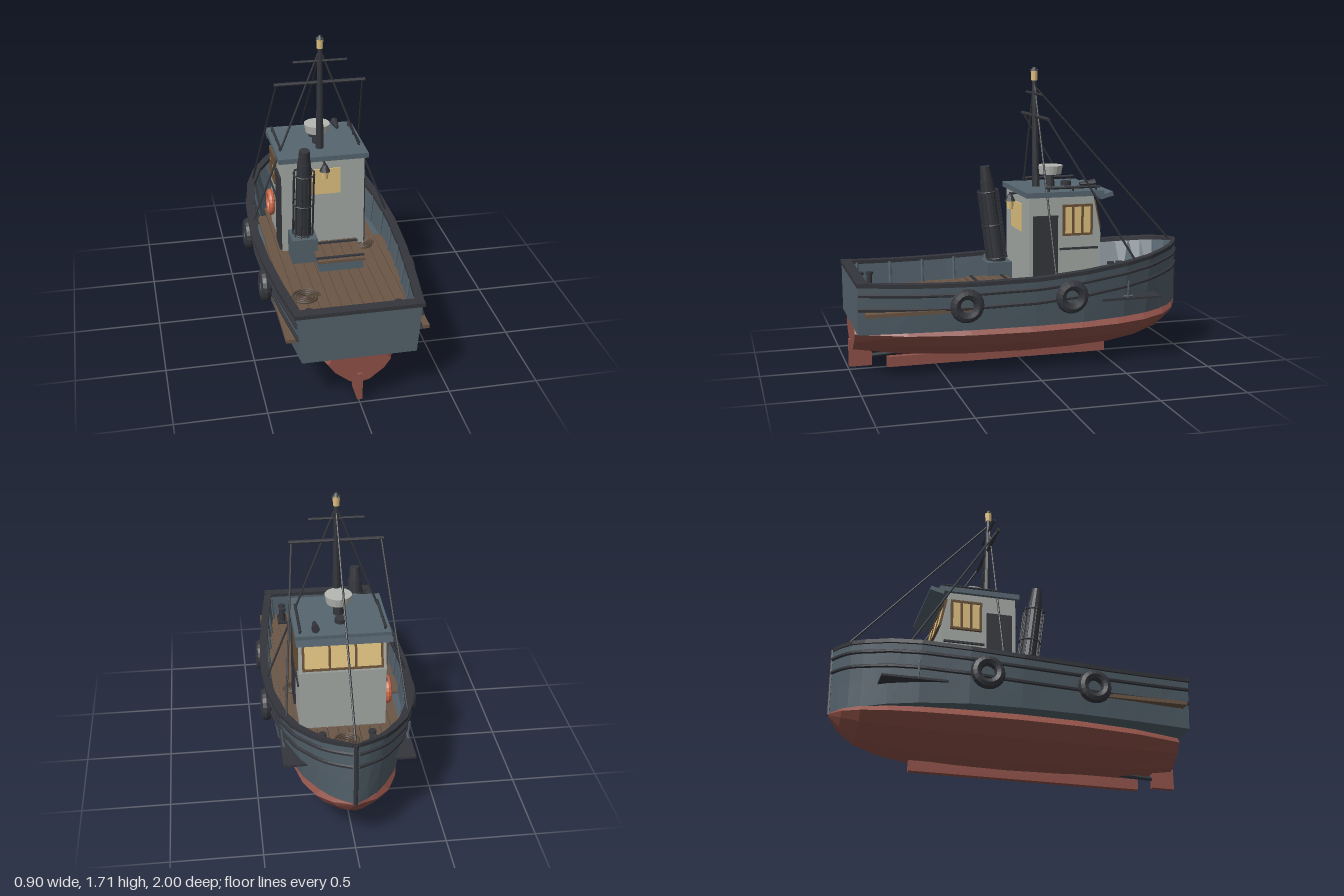
import * as THREE from 'three';

const V = (x, y, z) => new THREE.Vector3(x, y, z);
const mat = (color) => new THREE.MeshStandardMaterial({ color, flatShading: true, side: THREE.DoubleSide });
const M = {
  hull: mat(0x53616b), trim: mat(0x34363c), red: mat(0x8f5148), wood: mat(0x6b5646), wall: mat(0xa4a9a4),
  roof: mat(0x566570), glass: mat(0xe0c180), frame: mat(0x6a5138), pale: mat(0xb4b8b2), orange: mat(0xc8694a), rope: mat(0x54463a),
};

// Piecewise linear curve through [z, value] pairs, ordered from bow to stern
const curve = (pts) => (z) => {
  if (z <= pts[0][0]) return pts[0][1];
  for (let i = 1; i < pts.length; i++) {
    const [a, va] = pts[i - 1], [b, vb] = pts[i];
    if (z <= b) return va + (vb - va) * (z - a) / (b - a);
  }
  return pts[pts.length - 1][1];
};
const beam = curve([[-0.985, 0.012], [-0.95, 0.085], [-0.9, 0.16], [-0.84, 0.215], [-0.71, 0.305], [-0.55, 0.365], [-0.29, 0.41],
  [0, 0.425], [0.34, 0.41], [0.66, 0.378], [0.985, 0.335]]);
const sheer = curve([[-0.985, 0.66], [-0.75, 0.625], [-0.5, 0.597], [-0.25, 0.572], [0, 0.555], [0.4, 0.545], [0.7, 0.548], [0.985, 0.56]]);
const bilge = (z) => beam(z) * (z < -0.3 ? 0.89 - 0.12 * (-z - 0.3) / 0.7 : 0.89 + 0.04 * Math.max(0, z));
const sideX = (z, y) => THREE.MathUtils.mapLinear(y, 0.28, sheer(z), bilge(z), beam(z));
const inner = (z) => {
  const zz = z - 0.19 * THREE.MathUtils.clamp((-z - 0.3) / 0.5, 0, 1);
  return zz < -0.985 ? 0 : Math.max(0, beam(zz) - 0.045);
};
const stations = [-0.985, -0.95, -0.9, -0.84, -0.78, -0.71, -0.63, -0.55, -0.42, -0.29, -0.15, 0, 0.17, 0.34, 0.5, 0.66, 0.82, 0.985];

// Skin joining equal-length cross-sections
function loft(sections, closed = false, caps = false) {
  const n = sections[0].length, pos = [], idx = [];
  sections.forEach((s) => s.forEach((p) => pos.push(p.x, p.y, p.z)));
  for (let i = 0; i < sections.length - 1; i++)
    for (let j = 0; j < (closed ? n : n - 1); j++) {
      const a = i * n + j, b = i * n + (j + 1) % n;
      idx.push(a, b, a + n, b, b + n, a + n);
    }
  if (caps) for (const o of [0, (sections.length - 1) * n]) for (let j = 1; j < n - 1; j++) idx.push(o, o + j, o + j + 1);
  const g = new THREE.BufferGeometry();
  g.setAttribute('position', new THREE.Float32BufferAttribute(pos, 3));
  g.setIndex(idx);
  g.computeVertexNormals();
  return g;
}

export function createModel() {
  const root = new THREE.Group();
  const add = (name, geo, m, x = 0, y = 0, z = 0, parent = root) => {
    const mesh = new THREE.Mesh(geo, m);
    mesh.name = name;
    mesh.position.set(x, y, z);
    parent.add(mesh);
    return mesh;
  };
  const box = (name, w, h, d, m, x, y, z, parent) => add(name, new THREE.BoxGeometry(w, h, d), m, x, y, z, parent);
  const cyl = (name, r1, r2, h, m, x, y, z, parent, seg = 12) => add(name, new THREE.CylinderGeometry(r1, r2, h, seg), m, x, y, z, parent);
  const rod = (name, a, b, r, m = M.trim, r2 = r) => {
    const mesh = cyl(name, r2, r, a.distanceTo(b), m, 0, 0, 0, root, 8);
    mesh.position.copy(a).lerp(b, 0.5);
    mesh.quaternion.setFromUnitVectors(V(0, 1, 0), b.clone().sub(a).normalize());
    return mesh;
  };
  const tube = (name, pts, r, m = M.trim, seg = 60) => add(name, new THREE.TubeGeometry(new THREE.CatmullRomCurve3(pts), seg, r, 6), m);

  // Topsides with inner bulwark
  const mirrored = (half) => [...half.slice().reverse().map((p) => V(-p.x, p.y, p.z)), ...half];
  add('topsides', loft(stations.map((z) => {
    const s = sheer(z), w = beam(z);
    return mirrored([V(0, 0.28, z), V(bilge(z), 0.28, z), V(sideX(z, 0.42), 0.42, z), V(w, s, z),
      V(Math.max(0, w - 0.025), s, z), V(Math.min(w, inner(z)), 0.395, z), V(0, 0.395, z)]);
  })), M.hull);
  const t = new THREE.Shape([[-1, 0], [1, 0], [1, 1], [-1, 1]].map(([s, top]) =>
    new THREE.Vector2(s * (top ? beam(0.985) : bilge(0.985)), top ? 0.56 : 0.28)));
  add('transom', new THREE.ExtrudeGeometry(t, { depth: 0.035, bevelEnabled: false }), M.hull, 0, 0, 0.952);
  box('transomCap', 0.7, 0.022, 0.06, M.trim, 0, 0.562, 0.962);

  // Red underbody
  const redWidth = [0.02, 0.12, 0.2, 0.26, 0.295, 0.315, 0.325, 0.31, 0.26, 0.17];
  const redKeel = [0.27, 0.2, 0.135, 0.09, 0.062, 0.05, 0.045, 0.052, 0.075, 0.12];
  add('underbody', loft([-0.985, -0.93, -0.84, -0.7, -0.53, -0.3, 0, 0.35, 0.7, 0.985].map((z, i) => {
    const half = [[0, 1], [0.32, 0.92], [0.78, 0.55], [1, 0.23], [0.85, 0]];
    return mirrored(half.map(([fx, fy]) => V(redWidth[i] * fx, 0.287 + (redKeel[i] - 0.287) * fy, z)));
  }), true, true), M.red);
  box('keel', 0.035, 0.06, 1.32, M.red, 0, 0.03, 0.12);
  box('rudder', 0.03, 0.16, 0.13, M.red, 0, 0.1, 0.935);
  rod('propellerShaft', V(0, 0.085, 0.68), V(0, 0.075, 0.88), 0.012);
  rod('stem', V(0, 0.28, -0.985), V(0, 0.665, -0.985), 0.012);

  // Gunwales, rubbing rails and bulwark ribs
  for (const s of [-1, 1]) {
    add('gunwale', loft(stations.map((z) => {
      const y = sheer(z), o = beam(z) + 0.012, i = Math.max(0, beam(z) - 0.035);
      return [V(s * o, y - 0.01, z), V(s * o, y + 0.012, z), V(s * i, y + 0.012, z), V(s * i, y - 0.01, z)];
    }), true, true), M.trim);
    for (const drop of [0.055, 0.135])
      tube('rubbingRail', stations.map((z) => V(s * (sideX(z, sheer(z) - drop) + 0.004), sheer(z) - drop, z)), 0.011);
    for (let z = -0.5; z < 0.9; z += 0.2)
      rod('bulwarkRib', V(s * (inner(z) - 0.003), 0.4, z), V(s * (beam(z) - 0.032), sheer(z), z), 0.009, M.hull);

    // Tyre fenders and side anchors
    for (const [z, y] of [[-0.2, 0.445], [0.4, 0.43]]) {
      const tyre = add('tyreFender', new THREE.TorusGeometry(0.066, 0.03, 8, 20), M.trim, s * (sideX(z, y) + 0.027), y, z);
      tyre.rotation.y = Math.PI / 2;
    }
    const ax = sideX(-0.56, 0.45) + 0.015;
    rod('anchorShank', V(s * ax, 0.4, -0.56), V(s * (ax + 0.01), 0.5, -0.56), 0.006, M.hull);
    rod('anchorArms', V(s * ax, 0.41, -0.53), V(s * ax, 0.41, -0.59), 0.006, M.hull);
  }

  // Deck planks over a broad forward board
  box('foredeckBoard', 0.73, 0.012, 0.36, M.trim, 0, 0.397, -0.58);
  for (let i = -6; i <= 6; i++) {
    let z0 = -0.77;
    while (z0 < -0.1 && inner(z0) < Math.abs(i) * 0.06 + 0.02) z0 += 0.01;
    box('deckPlank', 0.056, 0.02, 0.95 - z0, M.wood, i * 0.06, 0.4, (0.95 + z0) / 2);
  }

  // Wheelhouse
  const profile = new THREE.Shape([[0, 0.4], [0, 0.99], [-0.38, 0.99], [-0.425, 0.77], [-0.425, 0.4]].map((p) => new THREE.Vector2(...p)));
  const cabin = new THREE.ExtrudeGeometry(profile, { depth: 0.49, bevelEnabled: false });
  cabin.rotateY(-Math.PI / 2).translate(0.245, 0, 0);
  add('wheelhouse', cabin, M.wall);
  const roof = box('roof', 0.53, 0.03, 0.46, M.roof, 0, 1.0, -0.21);
  const visor = box('visor', 0.53, 0.025, 0.08, M.roof, 0, 0.985, -0.455);
  visor.rotation.x = 0.25;
  roof.name = 'wheelhouseRoof';

  // Framed windows facing local +z
  const windowSet = (name, w, h, n, x, y, z, ry, rx = 0) => {
    const g = new THREE.Group();
    g.name = name;
    g.position.set(x, y, z);
    g.rotation.set(rx, ry, 0);
    root.add(g);
    box('pane', w, h, 0.012, M.glass, 0, 0, 0, g);
    if (n) {
      for (let i = 0; i <= n; i++) box('mullion', 0.013, h + 0.013, 0.024, M.frame, -w / 2 + w * i / n, 0, 0, g);
      for (const s of [-1, 1]) box('windowRail', w, 0.013, 0.024, M.frame, 0, s * h / 2, 0, g);
    }
  };
  windowSet('frontWindows', 0.44, 0.16, 3, 0, 0.87, -0.406, 0, 0.2);
  windowSet('aftWindow', 0.22, 0.16, 0, 0, 0.85, 0.001, 0);
  root.getObjectByName('aftWindow').position.x = -0.01;
  for (const s of [-1, 1]) {
    windowSet('sideWindows', 0.165, 0.165, 3, s * 0.247, 0.85, -0.285, Math.PI / 2);
    box('sideDoor', 0.02, 0.47, 0.145, M.trim, s * 0.247, 0.645, -0.095);
    box('sideMoulding', 0.015, 0.012, 0.23, M.trim, s * 0.247, 0.685, -0.295);
    rod('roofHandrail', V(s * 0.235, 1.035, -0.42), V(s * 0.235, 1.035, -0.1), 0.008);
    for (const z of [-0.4, -0.26, -0.12]) rod('handrailPost', V(s * 0.235, 1.0, z), V(s * 0.235, 1.035, z), 0.006);
  }
  const buoy = add('lifebuoy', new THREE.TorusGeometry(0.063, 0.019, 8, 20), M.orange, -0.265, 0.58, -0.33);
  buoy.rotation.y = Math.PI / 2;

  // Roof gear: radar, vent, horn
  cyl('radarPost', 0.025, 0.03, 0.08, M.trim, 0, 1.055, -0.195);
  cyl('radarDrum', 0.077, 0.068, 0.05, M.pale, 0, 1.112, -0.195, root, 20);
  cyl('roofVent', 0.032, 0.032, 0.03, M.trim, 0, 1.025, -0.295);
  rod('horn', V(0.15, 1.04, -0.33), V(0.15, 1.045, -0.42), 0.01, M.trim, 0.024);

  // Mast, yards, lamps and rigging
  rod('mast', V(0, 1.0, -0.112), V(0, 1.63, -0.1), 0.024, M.trim, 0.014);
  cyl('mastLamp', 0.021, 0.018, 0.06, M.glass, 0, 1.66, -0.1);
  cyl('mastLampCap', 0.008, 0.025, 0.022, M.trim, 0, 1.695, -0.1);
  rod('upperYard', V(-0.155, 1.555, -0.1), V(0.155, 1.555, -0.1), 0.008);
  rod('lowerYard', V(-0.265, 1.425, -0.105), V(0.265, 1.425, -0.105), 0.011);
  rod('forestay', V(0, 1.6, -0.1), V(0, 0.665, -0.95), 0.006);
  for (const s of [-1, 1]) {
    rod('shroud', V(s * 0.01, 1.6, -0.1), V(s * 0.41, 0.56, -0.11), 0.006);
    rod('yardStay', V(s * 0.25, 1.425, -0.105), V(s * 0.335, 0.61, -0.61), 0.006);
  }
  rod('lampBracket', V(0, 0.98, 0), V(0, 0.98, 0.05), 0.007);
  cyl('deckLampShade', 0.012, 0.032, 0.04, M.trim, 0, 0.955, 0.045);
  cyl('deckLamp', 0.023, 0.018, 0.045, M.glass, 0, 0.912, 0.045);

  // Raked funnel in a wire cage
  box('funnelBase', 0.15, 0.16, 0.15, M.hull, -0.14, 0.48, 0.09);
  const funnel = new THREE.Group();
  funnel.name = 'funnel';
  funnel.position.set(-0.14, 0.55, 0.085);
  funnel.rotation.x = 0.13;
  root.add(funnel);
  cyl('funnelPipe', 0.04, 0.05, 0.5, M.trim, 0, 0.25, 0, funnel, 14);
  cyl('funnelTop', 0.03, 0.037, 0.1, M.trim, 0, 0.53, 0, funnel, 14);
  for (const y of [0.03, 0.23, 0.43]) add('cageHoop', new THREE.TorusGeometry(0.06, 0.005, 5, 18), M.trim, 0, y, 0, funnel).rotation.x = Math.PI / 2;
  for (let i = 0; i < 10; i++) {
    const a = i * Math.PI / 5;
    cyl('cageBar', 0.004, 0.004, 0.42, M.trim, 0.06 * Math.cos(a), 0.23, 0.06 * Math.sin(a), funnel, 5);
  }

  // Cargo hatch
  box('hatchCoaming', 0.26, 0.06, 0.23, M.roof, 0.05, 0.435, 0.17);
  for (let i = 0; i < 5; i++) box('hatchBoard', 0.052, 0.016, 0.25, M.wood, -0.062 + i * 0.056, 0.473, 0.17);
  for (const z of [0.08, 0.26]) box('hatchBatten', 0.28, 0.012, 0.016, M.trim, 0.05, 0.483, z);

  // Rope coils
  for (const [x, z, r] of [[0, -0.58, 0.08], [-0.21, 0.55, 0.08], [0.24, 0.01, 0.065]]) {
    const pts = [];
    for (let i = 0; i <= 60; i++) {
      const a = i * Math.PI / 7.5, q = r * (0.12 + 0.88 * i / 60);
      pts.push(V(x + q * Math.cos(a), 0.417, z + q * Math.sin(a)));
    }
    tube('ropeCoil', pts, 0.007, M.rope, 120);
  }

  // Mooring bitts
  for (const [x, z] of [[-0.138, -0.66], [0.138, -0.66], [-0.245, 0.865], [0.245, 0.865]]) {
    box('bittPlate', 0.06, 0.02, 0.11, M.trim, x, 0.415, z);
    for (const d of [-0.027, 0.027]) {
      cyl('bittPost', 0.016, 0.018, 0.08, M.trim, x, 0.46, z + d);
      cyl('bittCap', 0.022, 0.022, 0.014, M.trim, x, 0.503, z + d);
    }
  }
  return root;
}
